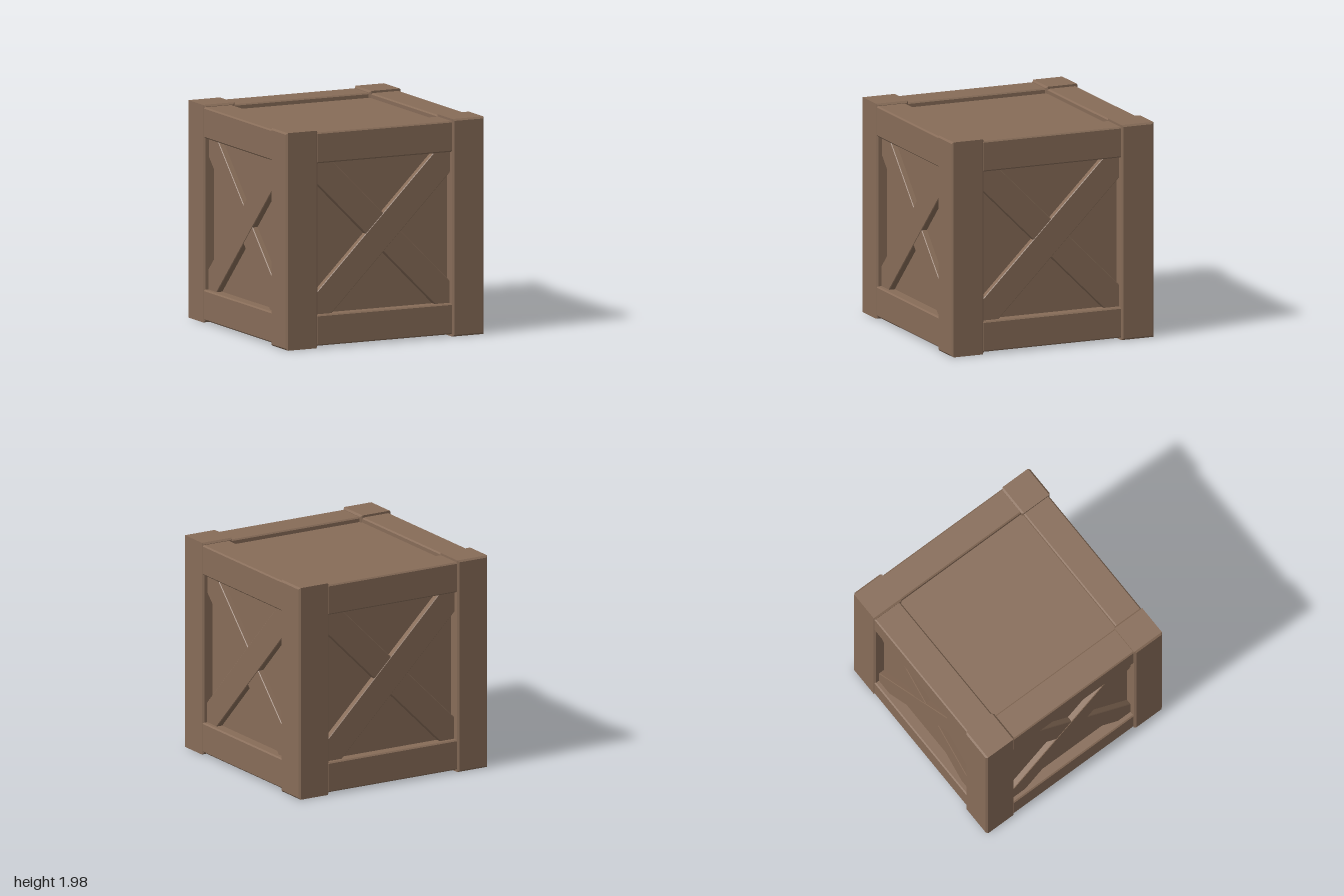
import * as THREE from 'three';

const wood = new THREE.MeshStandardMaterial({ color: 0x876c58 });
wood.name = 'brown wood';

// Box with chamfered edges, given by its min and max corners
function plank(name, [x0, y0, z0], [x1, y1, z1], bevel = 0.012) {
  const w = (x1 - x0) / 2 - bevel, h = (y1 - y0) / 2 - bevel, d = z1 - z0;
  const shape = new THREE.Shape([
    new THREE.Vector2(-w, -h), new THREE.Vector2(w, -h),
    new THREE.Vector2(w, h), new THREE.Vector2(-w, h),
  ]);
  const geometry = new THREE.ExtrudeGeometry(shape, {
    depth: d - 2 * bevel, bevelEnabled: true, bevelSegments: 1,
    bevelSize: bevel, bevelThickness: bevel,
  });
  geometry.translate(0, 0, bevel - d / 2);
  const mesh = new THREE.Mesh(geometry, wood);
  mesh.name = name;
  mesh.position.set((x0 + x1) / 2, (y0 + y1) / 2, (z0 + z1) / 2);
  return mesh;
}

// One side: a corner post proud of this face, two rails and a diagonal cross
function createSide() {
  const side = new THREE.Group();
  side.add(plank('cornerPost', [0.668, 0, 0.682], [0.983, 1.98, 1.0], 0.016));
  side.add(plank('bottomRail', [-0.7, 0.02, 0.695], [0.7, 0.3, 0.98]));
  side.add(plank('topRail', [-0.7, 1.68, 0.695], [0.7, 1.96, 0.98]));

  [1, -1].forEach((dir) => {
    const front = dir > 0 ? 0.936 : 0.932;
    const brace = plank('crossBrace', [-1.08, 0.87, 0.85], [1.08, 1.12, front], 0.006);
    brace.rotation.z = dir * Math.PI / 4;
    side.add(brace);
  });
  return side;
}

export function createModel() {
  const crate = new THREE.Group();
  crate.name = 'woodenCrate';

  // Recessed panels of all six faces
  crate.add(plank('innerPanels', [-0.88, 0.07, -0.88], [0.88, 1.915, 0.88], 0.004));

  // Four sides in a pinwheel, so each post overlaps the next side
  ['frontSide', 'leftSide', 'backSide', 'rightSide'].forEach((name, i) => {
    const side = createSide();
    side.name = name;
    side.rotation.y = i * Math.PI / 2;
    crate.add(side);
  });
  return crate;
}
